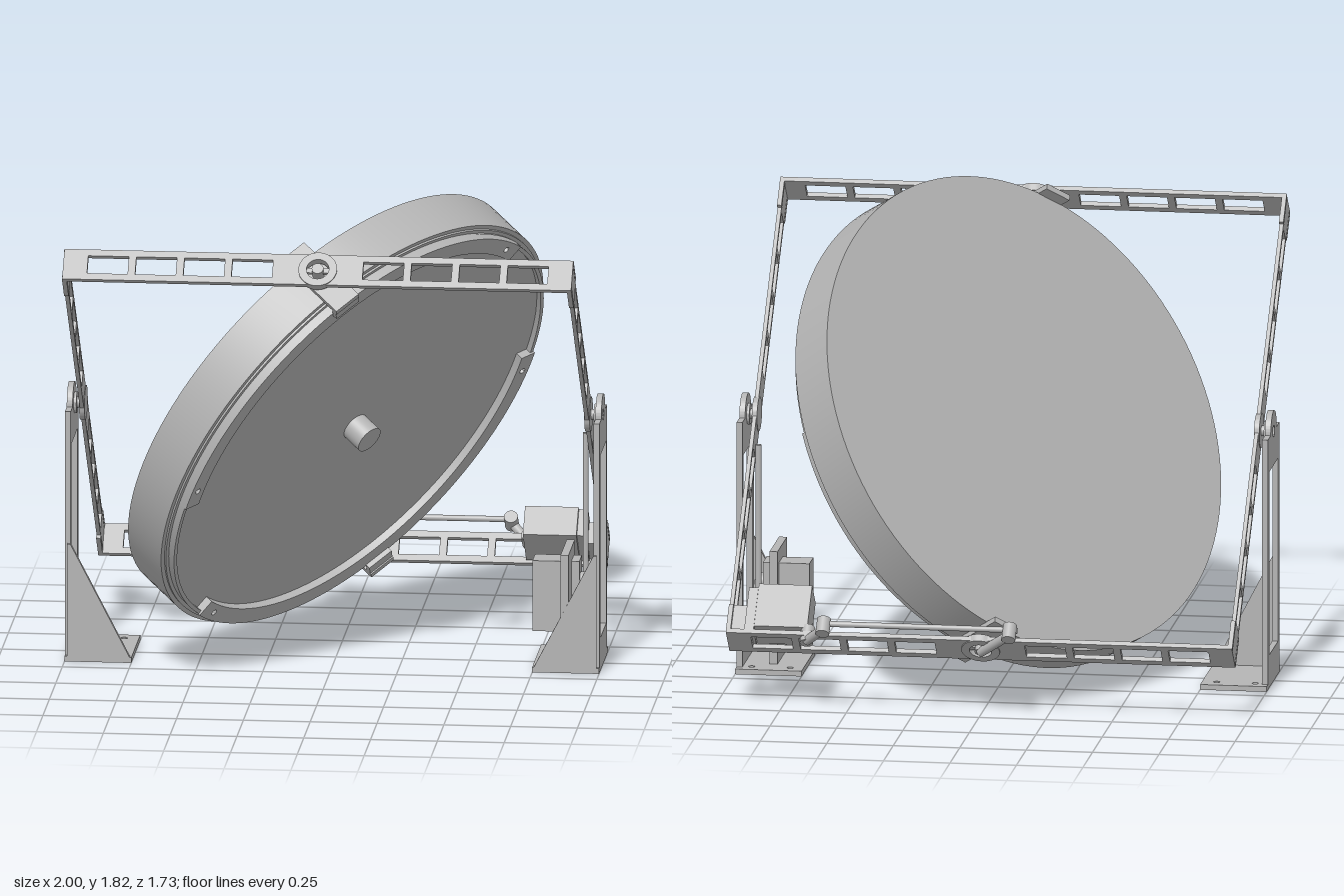
import * as THREE from 'three';
import { toCreasedNormals } from 'three/addons/utils/BufferGeometryUtils.js';

const grey = new THREE.MeshStandardMaterial({ color: 0xb4b4b4 });
grey.name = 'light grey';

function add(parent, name, geometry, x = 0, y = 0, z = 0) {
  const mesh = new THREE.Mesh(geometry, grey);
  mesh.name = name;
  mesh.position.set(x, y, z);
  parent.add(mesh);
  return mesh;
}

// box given by its limits on each axis
function box(parent, name, x0, x1, y0, y1, z0, z1) {
  return add(parent, name, new THREE.BoxGeometry(x1 - x0, y1 - y0, z1 - z0),
    (x0 + x1) / 2, (y0 + y1) / 2, (z0 + z1) / 2);
}

// round bar between two points
function rod(parent, name, from, to, radius, sides = 24) {
  const a = new THREE.Vector3(...from), b = new THREE.Vector3(...to);
  const dir = b.clone().sub(a);
  const mesh = add(parent, name, new THREE.CylinderGeometry(radius, radius, dir.length(), sides));
  mesh.position.copy(a).add(b).multiplyScalar(0.5);
  mesh.quaternion.setFromUnitVectors(new THREE.Vector3(0, 1, 0), dir.normalize());
  return mesh;
}

function rect(x0, x1, y0, y1, Type = THREE.Path) {
  return new Type([[x0, y0], [x1, y0], [x1, y1], [x0, y1]].map(p => new THREE.Vector2(...p)));
}

function circle(x, y, r, Type = THREE.Path) {
  return new Type().absarc(x, y, r, 0, Math.PI * 2, false);
}

function plate(shape, depth) {
  const g = new THREE.ExtrudeGeometry(shape, { depth, bevelEnabled: false, curveSegments: 32 });
  return toCreasedNormals(g, 0.6);
}

// slotted strip along x with a bored round hub in the middle
function strip(halfLength, halfWidth, slotHalf, depth) {
  const shape = rect(-halfLength, halfLength, -halfWidth, halfWidth, THREE.Shape);
  for (const side of [-1, 1]) {
    for (let i = 0; i < 4; i++) {
      const c = side * (0.245 + i * 0.18);
      shape.holes.push(rect(c - 0.076, c + 0.076, -slotHalf, slotHalf));
    }
  }
  shape.holes.push(circle(0, 0, 0.042));
  return plate(shape, depth);
}

function ring(outer, inner, depth) {
  const shape = circle(0, 0, outer, THREE.Shape);
  shape.holes.push(circle(0, 0, inner));
  return plate(shape, depth);
}

// upright bearing stand; side is +1 or -1 in x
function buildStand(side) {
  const stand = new THREE.Group();
  stand.name = side > 0 ? 'leftStand' : 'rightStand';
  // wall with a window and a rounded bearing top (drawn in -z, y)
  const wall = new THREE.Shape();
  wall.moveTo(-0.15, 0);
  wall.lineTo(0.15, 0);
  wall.lineTo(0.15, 0.955);
  wall.lineTo(0.078, 0.955);
  wall.absarc(0, 0.955, 0.078, 0, Math.PI, false);
  wall.lineTo(-0.15, 0.955);
  wall.holes.push(rect(-0.115, 0.115, 0.125, 0.825), circle(0, 0.955, 0.022));
  const w = add(stand, 'standWall', plate(wall, 0.022), side > 0 ? 0.978 : -1);
  w.rotation.y = Math.PI / 2;
  // base with screw holes (drawn in x, -z)
  const base = rect(0.75, 1, -0.165, 0.185, THREE.Shape);
  for (const x of [0.8, 0.945]) for (const z of [-0.13, 0.135]) base.holes.push(circle(x, z, 0.012));
  const b = add(stand, 'standBase', plate(base, 0.02));
  b.rotation.x = -Math.PI / 2;
  if (side < 0) b.position.x = -1.75;
  // gusset on the front edge
  const gusset = new THREE.Shape([[0.755, 0.018], [0.99, 0.018], [0.99, 0.45], [0.978, 0.45]]
    .map(([x, y]) => new THREE.Vector2(side * x, y)));
  add(stand, 'gusset', plate(gusset, 0.02), 0, 0, 0.145);
  // bearing and pivot shaft
  const bearing = add(stand, 'bearing', ring(0.04, 0.02, 0.03), side > 0 ? 0.968 : -0.998, 0.955, 0);
  bearing.rotation.y = Math.PI / 2;
  rod(stand, 'pivotShaft', [side * 0.935, 0.955, 0], [side * 0.995, 0.955, 0], 0.02);
  return stand;
}

// dish with its axis on z, front towards +z
function buildDish() {
  const dish = new THREE.Group();
  dish.name = 'dish';
  const profile = [[0, -0.095], [0.943, -0.095], [0.943, 0.092], [0.926, 0.092], [0.926, 0.1],
    [0.912, 0.1], [0.912, 0.13], [0.897, 0.13], [0.897, 0.108], [0, 0.108]];
  const lathe = new THREE.LatheGeometry(profile.map(p => new THREE.Vector2(...p)), 128);
  add(dish, 'dishBody', toCreasedNormals(lathe, 0.5)).rotation.x = Math.PI / 2;
  rod(dish, 'knob', [0, 0, 0.1], [0, 0, 0.19], 0.055, 40);
  // two retaining flanges and their pivot brackets
  for (const end of [1, -1]) {
    const mid = end * Math.PI / 2, half = 1.14;
    const arc = new THREE.Shape();
    arc.absarc(0, 0, 0.914, mid - half, mid + half, false);
    arc.absarc(0, 0, 0.845, mid + half, mid - half, true);
    for (const k of [-1, 1]) {
      const t = mid + k * (half - 0.09);
      arc.holes.push(circle(0.88 * Math.cos(t), 0.88 * Math.sin(t), 0.012));
    }
    add(dish, 'retainingFlange', plate(arc, 0.03), 0, 0, 0.108);
    const bracket = add(dish, 'pivotBracket', new THREE.BoxGeometry(0.11, 0.022, 0.31), 0, end * 0.95, 0.015);
    bracket.position.z = 0.01;
    box(dish, 'bracketLip', -0.055, 0.055, Math.min(end * 0.9, end * 0.96), Math.max(end * 0.9, end * 0.96), 0.14, 0.16);
    rod(dish, 'dishShaft', [0, end * 0.95, 0], [0, end * 1.01, 0], 0.022);
  }
  return dish;
}

// tilting frame: x across, y along the arms
function buildFrame() {
  const frame = new THREE.Group();
  frame.name = 'tiltingFrame';
  for (const s of [1, -1]) {
    // cross bar
    const bar = add(frame, 'crossBar', strip(0.952, 0.065, 0.038, 0.018), 0, s > 0 ? 1.0 : -0.982, 0);
    bar.rotation.x = Math.PI / 2;
    const hub = add(frame, 'crossBarHub', ring(0.072, 0.042, 0.03), 0, s > 0 ? 1.005 : -0.975, 0);
    hub.rotation.x = Math.PI / 2;
    box(frame, 'hubSpoke', -0.045, 0.045, s * 0.988 - 0.006, s * 0.988 + 0.006, -0.01, 0.01);
    // side arm with wide end plates
    const arm = add(frame, 'sideArm', strip(0.99, 0.05, 0.034, 0.015), s > 0 ? 0.937 : -0.952, 0, 0);
    arm.rotation.set(Math.PI / 2, Math.PI / 2, 0, 'YXZ');
    arm.quaternion.setFromRotationMatrix(new THREE.Matrix4().makeBasis(
      new THREE.Vector3(0, 1, 0), new THREE.Vector3(0, 0, 1), new THREE.Vector3(1, 0, 0)));
    const armHub = add(frame, 'sideArmHub', ring(0.065, 0.018, 0.02), s > 0 ? 0.935 : -0.955, 0, 0);
    armHub.rotation.y = Math.PI / 2;
    for (const e of [1, -1]) {
      box(frame, 'cornerPlate', s * 0.9445 - 0.0085, s * 0.9445 + 0.0085, e * 0.935 - 0.06, e * 0.935 + 0.06, -0.065, -0.045);
      box(frame, 'cornerPlate', s * 0.9445 - 0.0085, s * 0.9445 + 0.0085, e * 0.935 - 0.06, e * 0.935 + 0.06, 0.045, 0.065);
    }
  }
  // motor and linkage that turn the dish
  box(frame, 'dishMotor', 0.65, 0.85, -0.965, -0.78, -0.062, 0.062);
  box(frame, 'motorBracket', 0.85, 0.885, -0.982, -0.8, -0.065, 0.05);
  box(frame, 'motorBracketFoot', 0.885, 0.94, -0.982, -0.87, -0.05, 0.04);
  rod(frame, 'motorShaft', [0.65, -0.95, -0.04], [0.65, -1.02, -0.04], 0.025);
  rod(frame, 'motorCrank', [0.65, -1.01, -0.04], [0.58, -1.01, -0.125], 0.018);
  rod(frame, 'linkRod', [0.58, -0.985, -0.125], [-0.12, -0.985, -0.125], 0.011);
  rod(frame, 'dishCrank', [0, -1.01, 0], [-0.12, -1.01, -0.125], 0.018);
  for (const x of [0.58, -0.12]) rod(frame, 'linkPin', [x, -0.965, -0.125], [x, -1.03, -0.125], 0.026);
  return frame;
}

// motor on the left stand that tilts the frame
function buildTiltDrive() {
  const drive = new THREE.Group();
  drive.name = 'tiltDrive';
  box(drive, 'motorMount', 0.855, 0.885, 0.02, 0.45, -0.085, 0.16);
  box(drive, 'tiltMotor', 0.74, 0.915, 0.13, 0.4, -0.052, 0.05);
  rod(drive, 'tiltShaft', [0.9, 0.315, 0], [0.945, 0.315, 0], 0.034);
  rod(drive, 'tiltCrank', [0.935, 0.315, 0], [0.935, 0.225, -0.09], 0.02);
  rod(drive, 'tiltPin', [0.91, 0.225, -0.09], [0.965, 0.225, -0.09], 0.024);
  rod(drive, 'tiltRod', [0.925, 0.225, -0.095], [0.925, 0.86, -0.095], 0.011);
  return drive;
}

export function createModel() {
  const model = new THREE.Group();
  model.name = 'gimbalDish';
  const frame = buildFrame();
  frame.position.y = 0.955;
  frame.rotation.x = Math.PI / 4;
  const dish = buildDish();
  dish.rotation.y = Math.PI / 4;
  frame.add(dish);
  model.add(frame, buildStand(1), buildStand(-1), buildTiltDrive());
  return model;
}
